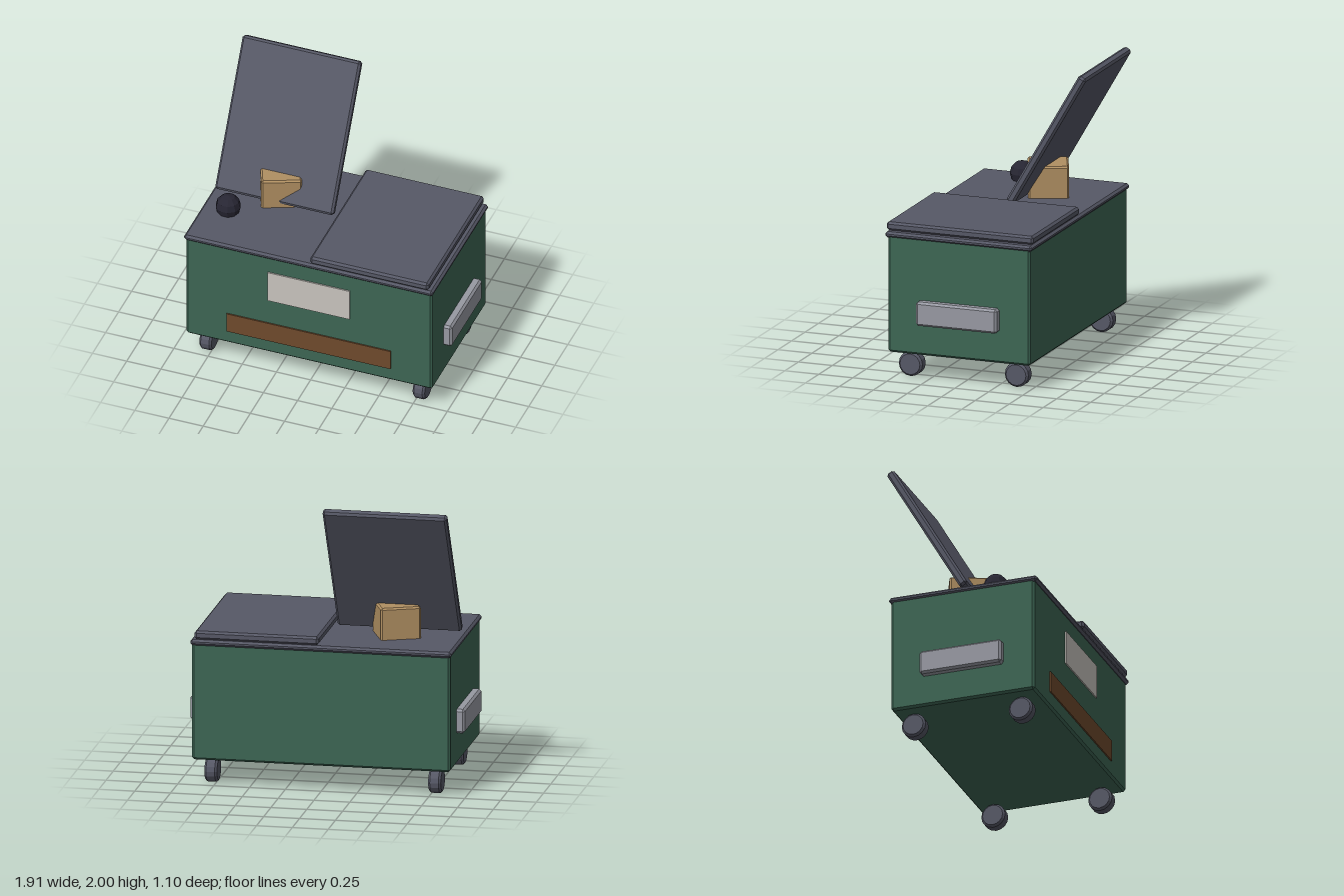
import * as THREE from 'three';
import { ConvexGeometry } from 'three/addons/geometries/ConvexGeometry.js';

const mat = (name, color) => {
  const m = new THREE.MeshStandardMaterial({ color, flatShading: true });
  m.name = name;
  return m;
};

// Box with every edge and corner chamfered by b
function chamferBox(w, h, d, b) {
  const x = w / 2, y = h / 2, z = d / 2, points = [];
  for (const sx of [-1, 1]) for (const sy of [-1, 1]) for (const sz of [-1, 1]) {
    points.push(
      new THREE.Vector3(sx * x, sy * (y - b), sz * (z - b)),
      new THREE.Vector3(sx * (x - b), sy * y, sz * (z - b)),
      new THREE.Vector3(sx * (x - b), sy * (y - b), sz * z));
  }
  return new ConvexGeometry(points);
}

export function createModel() {
  const group = new THREE.Group();
  group.name = 'dumpster';

  const green = mat('green paint', 0x3d6654);
  const darkGrey = mat('dark grey plastic', 0x565866);
  const steel = mat('light steel', 0x9799a2);
  const cream = mat('cream label', 0xc8c4be);
  const rust = mat('rust brown', 0x6f4a2c);
  const cardboard = mat('cardboard', 0xb08f62);
  const black = mat('bag black', 0x272633);

  const add = (name, geometry, material, x, y, z) => {
    const mesh = new THREE.Mesh(geometry, material);
    mesh.name = name;
    mesh.position.set(x, y, z);
    group.add(mesh);
    return mesh;
  };

  // Container and rim
  add('body', chamferBox(1.8, 0.83, 1.045, 0.015), green, 0, 0.595, 0.01);
  add('rim', chamferBox(1.82, 0.042, 1.08, 0.015), darkGrey, 0, 1.01, 0.013);

  // Lids: one closed, one swung open
  const lid = chamferBox(0.865, 0.06, 1.08, 0.015);
  add('closedLid', lid, darkGrey, 0.447, 1.063, 0.013);
  add('openLid', lid, darkGrey, -0.45, 1.526, -0.262).rotation.x = Math.PI / 3;

  // Painted front plates
  add('frontLabel', new THREE.BoxGeometry(0.6, 0.24, 0.0095), cream, 0, 0.75, 0.538);
  add('rustStripe', new THREE.BoxGeometry(1.2, 0.15, 0.0095), rust, 0, 0.36, 0.538);

  // Side handles and wheels
  const handle = chamferBox(0.08, 0.17, 0.595, 0.015);
  const wheel = new THREE.LatheGeometry([
    [0, -0.044], [0.073, -0.044], [0.087, -0.03], [0.087, 0.03], [0.073, 0.044], [0, 0.044],
  ].map(([r, y]) => new THREE.Vector2(r, y)), 16);
  wheel.rotateZ(Math.PI / 2);
  for (const side of [-1, 1]) {
    const label = side > 0 ? 'left' : 'right';
    add(label + 'Handle', handle, steel, side * 0.917, 0.484, 0.01);
    add(label + 'FrontWheel', wheel, darkGrey, side * 0.78, 0.087, 0.40);
    add(label + 'BackWheel', wheel, darkGrey, side * 0.78, 0.087, -0.38);
  }

  // Rubbish on top
  add('cardboardBox', chamferBox(0.28, 0.25, 0.28, 0.012), cardboard, -0.45, 1.13, -0.11).rotation.y = 0.4;
  add('rubbishBag', new THREE.SphereGeometry(0.088, 10, 6), black, -0.722, 1.079, 0.187);

  return group;
}
